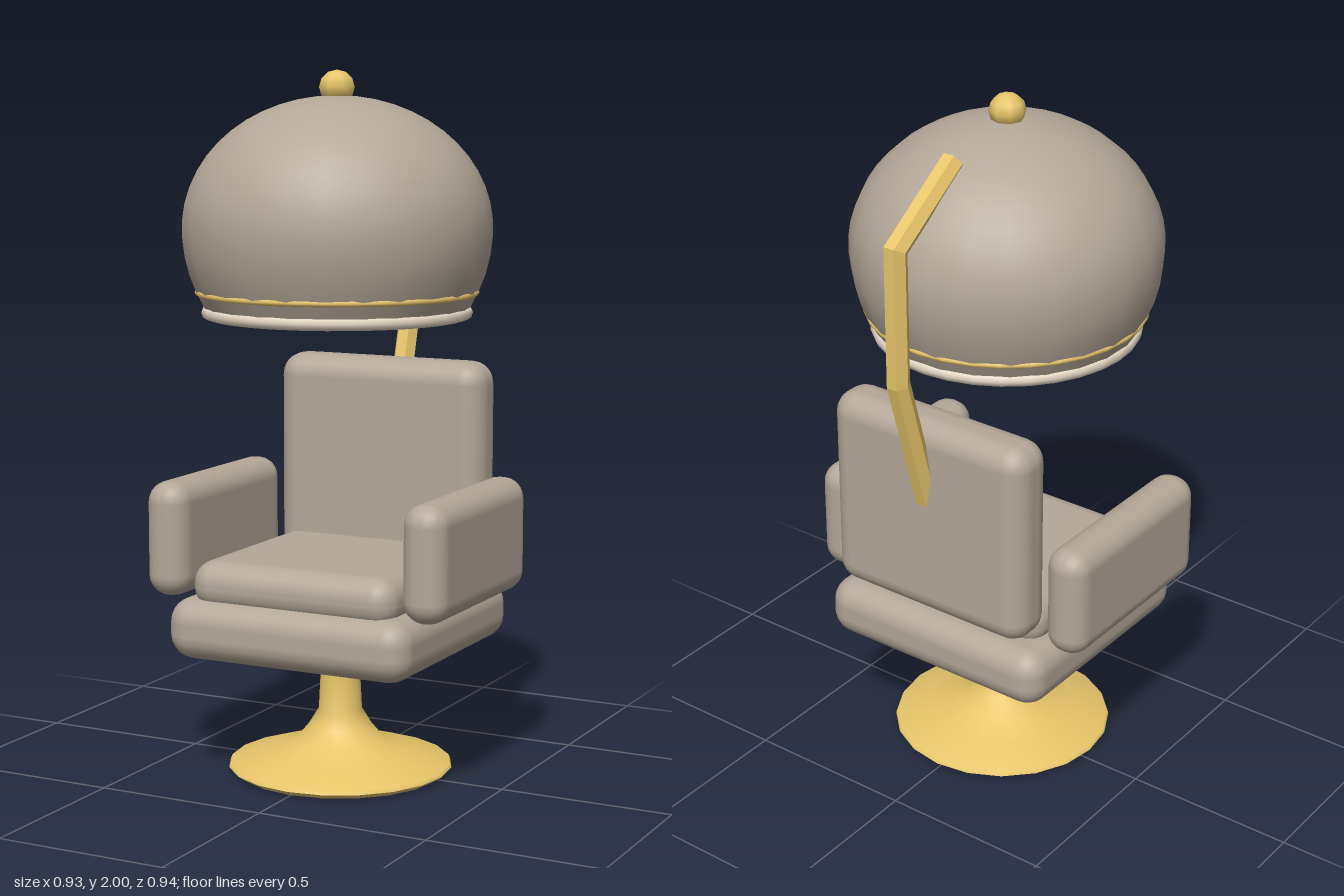
import * as THREE from 'three';
import { RoundedBoxGeometry } from 'three/addons/geometries/RoundedBoxGeometry.js';

export function createModel() {
  const model = new THREE.Group();
  const padding = new THREE.MeshStandardMaterial({ color: 0xb3a798 });
  const gold = new THREE.MeshStandardMaterial({ color: 0xe6c56a });
  const goldFlat = new THREE.MeshStandardMaterial({ color: 0xe6c56a, flatShading: true });
  const cream = new THREE.MeshStandardMaterial({ color: 0xe3d6c4 });
  const domeZ = 0.04;

  function add(name, geometry, material, x = 0, y = 0, z = 0) {
    const mesh = new THREE.Mesh(geometry, material);
    mesh.name = name;
    mesh.position.set(x, y, z);
    model.add(mesh);
    return mesh;
  }

  // Padded block given by its limits on each axis
  function cushion(name, [x0, x1], [y0, y1], [z0, z1], radius) {
    const geometry = new RoundedBoxGeometry(x1 - x0, y1 - y0, z1 - z0, 3, radius);
    return add(name, geometry, padding, (x0 + x1) / 2, (y0 + y1) / 2, (z0 + z1) / 2);
  }

  const lathe = (points, sides) =>
    new THREE.LatheGeometry(points.map(([r, y]) => new THREE.Vector2(r, y)), sides);

  // Pedestal: flared foot and stem, with a flat underside
  add('pedestal', lathe([
    [0.323, 0.018], [0.318, 0.028], [0.22, 0.06], [0.127, 0.09],
    [0.09, 0.135], [0.063, 0.18], [0.058, 0.28], [0.053, 0.38],
  ], 20), gold, 0, 0, 0.02);
  add('pedestalRim', lathe([[0, 0.002], [0.3, 0.002]], 20), goldFlat, 0, 0, 0.02);
  add('pedestalEdge', lathe([[0.3, 0.002], [0.323, 0.018]], 20), gold, 0, 0, 0.02);

  // Chair
  cushion('seatBase', [-0.375, 0.375], [0.36, 0.535], [-0.345, 0.385], 0.07);
  cushion('seatCushion', [-0.317, 0.317], [0.5, 0.64], [-0.26, 0.347], 0.065);
  cushion('backrest', [-0.33, 0.33], [0.565, 1.17], [-0.355, -0.2], 0.065);
  cushion('leftArmrest', [0.335, 0.465], [0.525, 0.853], [-0.262, 0.345], 0.06);
  cushion('rightArmrest', [-0.465, -0.335], [0.525, 0.853], [-0.262, 0.345], 0.06);

  // Hood: an ellipse profile, cut off below its widest point
  const profile = [];
  const low = -Math.acos(0.395 / 0.435);
  for (let i = 0; i <= 16; i++) {
    const a = THREE.MathUtils.lerp(low, Math.PI / 2, i / 16);
    const height = a < 0 ? 0.43 : 0.365;
    profile.push([Math.max(0, 0.435 * Math.cos(a)), 1.565 + height * Math.sin(a)]);
  }
  add('hood', lathe(profile, 24), padding, 0, 0, domeZ).rotation.y = Math.PI / 24;
  add('hoodUnderside', new THREE.CylinderGeometry(0.395, 0.365, 0.06, 24), padding, 0, 1.357, domeZ)
    .rotation.y = Math.PI / 24;

  // Trim rings at the mouth of the hood
  const trim = add('hoodTrim', new THREE.TorusGeometry(0.39, 0.009, 8, 32), gold, 0, 1.386, domeZ);
  trim.rotation.x = Math.PI / 2;
  const creamRing = lathe([
    [0.345, 1.33], [0.35, 1.316], [0.362, 1.311], [0.376, 1.316], [0.381, 1.33],
    [0.376, 1.342], [0.362, 1.347], [0.35, 1.342], [0.345, 1.33],
  ], 32);
  add('hoodLip', creamRing, cream, 0, 0, domeZ);

  // Finial on top of the hood
  add('finial', new THREE.SphereGeometry(0.052, 8, 6), gold, 0, 1.952, domeZ).scale.y = 0.92;

  // Support arm: a six-sided bar bent along a [z, y] path with mitred corners
  const path = [[-0.2, 1.883], [-0.444, 1.715], [-0.444, 1.33], [-0.33, 0.93]]
    .map(([z, y]) => new THREE.Vector2(z, y));
  const normals = path.slice(1).map((p, i) => {
    const t = p.clone().sub(path[i]).normalize();
    return new THREE.Vector2(-t.y, t.x);
  });
  const bar = new THREE.CylinderGeometry(0.033, 0.033, 1, 6, path.length - 1);
  bar.rotateY(Math.PI / 6);
  const pos = bar.attributes.position;
  for (let i = 0; i < pos.count; i++) {
    const k = Math.round((0.5 - pos.getY(i)) * (path.length - 1));
    const before = normals[Math.max(k - 1, 0)];
    const after = normals[Math.min(k, normals.length - 1)];
    const mitre = before.clone().add(after).divideScalar(1 + before.dot(after));
    const p = path[k].clone().addScaledVector(mitre, pos.getZ(i));
    pos.setXYZ(i, pos.getX(i), p.y, p.x);
  }
  bar.computeVertexNormals();
  add('supportArm', bar, goldFlat);

  return model;
}
